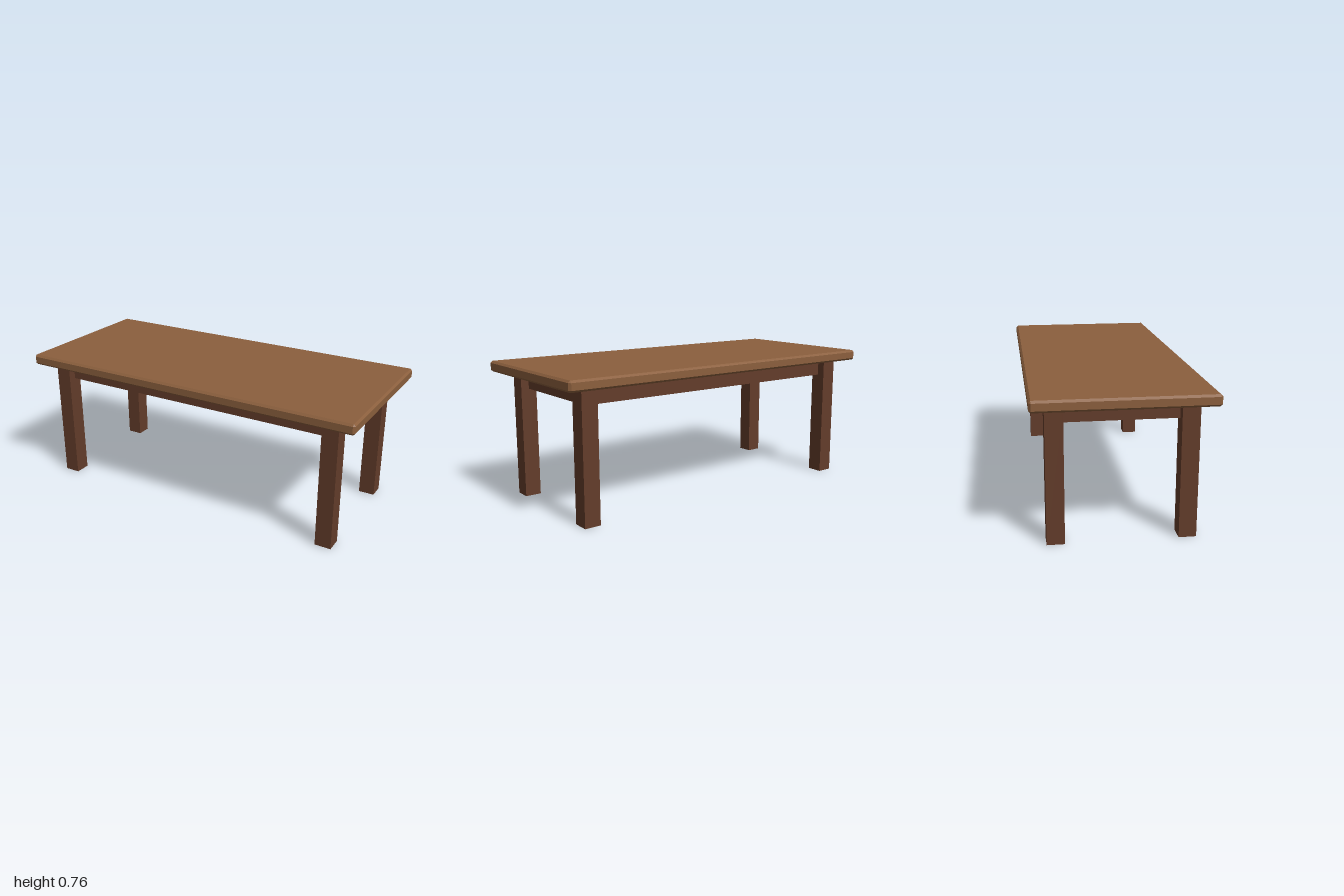
import * as THREE from 'three';
import { ConvexGeometry } from 'three/addons/geometries/ConvexGeometry.js';

// Box with every edge cut by a flat chamfer c
function chamferedBox(w, h, d, c) {
  const points = [];
  for (const x of [-1, 1]) for (const y of [-1, 1]) for (const z of [-1, 1]) {
    for (let axis = 0; axis < 3; axis++) {
      const half = [w / 2, h / 2, d / 2].map((s, i) => (i === axis ? s : s - c));
      points.push(new THREE.Vector3(x * half[0], y * half[1], z * half[2]));
    }
  }
  return new ConvexGeometry(points);
}

export function createModel() {
  const table = new THREE.Group();
  table.name = 'table';

  const lightWood = new THREE.MeshStandardMaterial({ color: 0x8b5f3d });
  lightWood.name = 'lightWood';
  const darkWood = new THREE.MeshStandardMaterial({ color: 0x633c2a });
  darkWood.name = 'darkWood';

  const add = (name, geometry, material, x, y, z) => {
    const mesh = new THREE.Mesh(geometry, material);
    mesh.name = name;
    mesh.position.set(x, y, z);
    table.add(mesh);
  };

  const topY = 0.762, underY = 0.703, apronY = 0.612;
  const legX = 0.851, legZ = 0.33, legWidth = 0.09;

  // Chamfered table top
  add('tableTop', chamferedBox(2, topY - underY, 0.9, 0.011), lightWood, 0, (topY + underY) / 2, 0);

  // Solid apron block running between the leg centres
  add('apron', new THREE.BoxGeometry(legX * 2, underY - apronY, legZ * 2), darkWood, 0, (underY + apronY) / 2, 0);

  // Four square legs
  const leg = new THREE.BoxGeometry(legWidth, underY, legWidth);
  for (const [endName, z] of [['front', legZ], ['back', -legZ]]) {
    for (const [sideName, x] of [['Left', legX], ['Right', -legX]]) {
      add(`${endName}${sideName}Leg`, leg, darkWood, x, underY / 2, z);
    }
  }

  return table;
}
